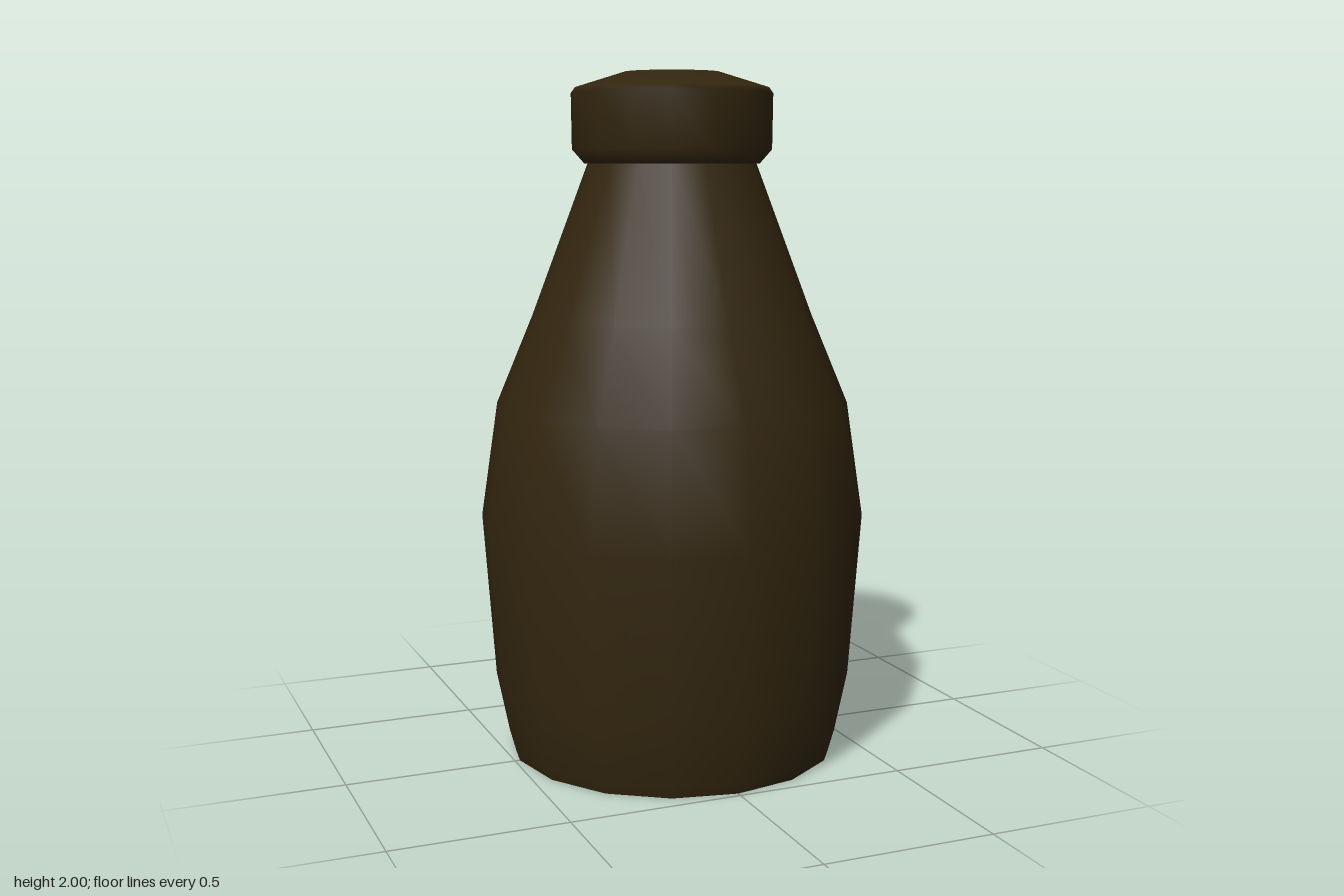
import * as THREE from 'three';

const SIDES = 16;

export function createModel() {
  const group = new THREE.Group();
  group.name = 'bottle';
  const brown = new THREE.MeshStandardMaterial({ color: 0x33260f });
  brown.name = 'dark brown glass';

  // Revolve a profile of [radius, height] points, listed from the outside bottom upward
  const addLathe = (name, profile) => {
    const points = profile.map(([r, y]) => new THREE.Vector2(r, y));
    const mesh = new THREE.Mesh(new THREE.LatheGeometry(points, SIDES), brown);
    mesh.name = name;
    group.add(mesh);
  };

  // Flat underside with a sharp edge
  addLathe('base', [[0, 0], [0.485, 0]]);

  // Gently bulging body that tapers into the neck
  addLathe('body', [
    [0.485, 0], [0.495, 0.03], [0.532, 0.21], [0.568, 0.7],
    [0.518, 1.04], [0.41, 1.3], [0.245, 1.74],
  ]);

  // Thick collar, sloping top and the recessed mouth
  addLathe('lip', [
    [0.235, 1.745], [0.255, 1.74], [0.29, 1.78], [0.292, 1.94],
    [0.28, 1.957], [0.14, 2], [0.118, 1.985], [0.108, 1.93],
    [0.1, 1.85], [0, 1.83],
  ]);

  return group;
}
